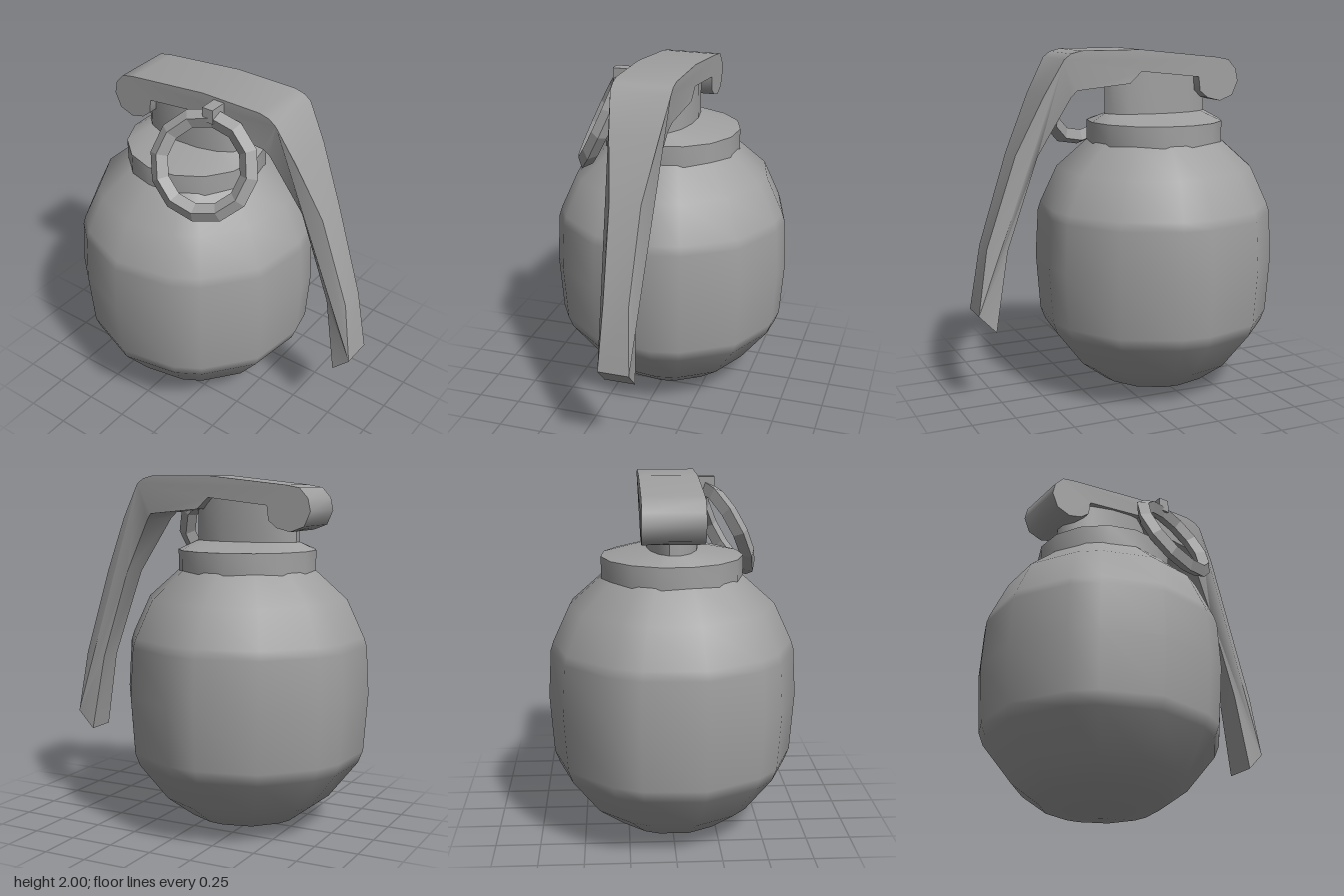
import * as THREE from 'three';
import { toCreasedNormals } from 'three/addons/utils/BufferGeometryUtils.js';

const CENTER_X = -0.213;
const SIDES = 15;
const GREY = 0xa0a0a0;
const rad = THREE.MathUtils.degToRad;
const vectors = (pts) => pts.map(([x, y]) => new THREE.Vector2(x, y));

// Lathe whose vertices are moved by a rule
function turned(profile, rule) {
  const geo = new THREE.LatheGeometry(vectors(profile), SIDES, rad(67));
  const pos = geo.attributes.position;
  const v = new THREE.Vector3();
  for (let i = 0; i < pos.count; i++) {
    v.fromBufferAttribute(pos, i);
    rule(v, Math.floor(i / profile.length));
    pos.setXYZ(i, v.x, v.y, v.z);
  }
  return geo;
}

function leverGeometry() {
  // x, y and, along the arm, the half width
  const outline = [
    // top edge and outer side of the arm
    [-0.52, 1.95], [-0.05, 2], [0.31, 2], [0.37, 1.985], [0.41, 1.955],
    [0.52, 1.76, 0.137], [0.67, 1.44, 0.086], [0.84, 0.93, 0.07], [0.9, 0.56, 0.088],
    // inner side of the arm and underside
    [0.8, 0.455, 0.088], [0.72, 0.91, 0.07], [0.54, 1.43, 0.083], [0.36, 1.75, 0.137], [0.33, 1.785, 0.15],
    [0.02, 1.815], [-0.05, 1.88], [-0.41, 1.84],
    // rounded hook
    [-0.42, 1.76], [-0.47, 1.72], [-0.55, 1.7], [-0.63, 1.73],
    [-0.665, 1.81], [-0.65, 1.88], [-0.6, 1.935],
  ];
  const geo = new THREE.ExtrudeGeometry(new THREE.Shape(vectors(outline)), { depth: 2, bevelEnabled: false });
  geo.translate(0, 0, -1);
  const pos = geo.attributes.position;
  for (let i = 0; i < pos.count; i++) {
    const [, , half = 0.165] = outline.find(
      ([x, y]) => Math.hypot(x - pos.getX(i), y - pos.getY(i)) < 1e-4);
    pos.setZ(i, pos.getZ(i) * half - 0.01);
  }
  return toCreasedNormals(geo, rad(48));
}

export function createModel() {
  const group = new THREE.Group();
  const smooth = new THREE.MeshStandardMaterial({ color: GREY });
  const flat = new THREE.MeshStandardMaterial({ color: GREY, flatShading: true });
  const add = (name, geo, mat, x = 0, y = 0, z = 0) => {
    const mesh = new THREE.Mesh(geo, mat);
    mesh.name = name;
    mesh.position.set(x, y, z);
    group.add(mesh);
    return mesh;
  };

  // Egg-shaped body: every third edge is sharp, the pairs between sit closer together
  const bodyProfile = [
    [0, 0], [0.33, 0.065], [0.485, 0.18], [0.65, 0.39], [0.677, 0.46], [0.7, 0.79],
    [0.684, 1.06], [0.668, 1.11], [0.57, 1.32], [0.39, 1.48],
  ];
  const body = turned(bodyProfile, (v, i) => {
    const k = i % 3;
    if (k === 0) return;
    v.applyAxisAngle(THREE.Object3D.DEFAULT_UP, rad(k === 1 ? 5 : -5));
    v.x *= 0.99;
    v.z *= 0.99;
  });
  add('body', body, smooth, CENTER_X);

  // Round collar sloping up into a narrow oval neck
  const collarProfile = [[0.392, 1.46], [0.392, 1.59], [0.315, 1.637], [0.315, 1.89]];
  const collar = turned(collarProfile, (v) => {
    if (v.y > 1.6) v.z *= 0.45;
  });
  add('collarAndNeck', toCreasedNormals(collar, rad(45)), smooth, CENTER_X);

  // Safety lever
  add('lever', leverGeometry(), smooth);

  // Pin and tilted pull ring
  add('pin', new THREE.BoxGeometry(0.065, 0.08, 0.11), flat, 0.055, 1.945, 0.2);
  const ringGeo = new THREE.TorusGeometry(0.255, 0.05, 4, 12);
  ringGeo.scale(1, 1, 0.9);
  const ring = add('pullRing', ringGeo, flat, 0.075, 1.685, 0.32);
  const normal = new THREE.Vector3(0.28, 0.49, 1).normalize();
  ring.quaternion.setFromUnitVectors(new THREE.Vector3(0, 0, 1), normal);

  return group;
}
